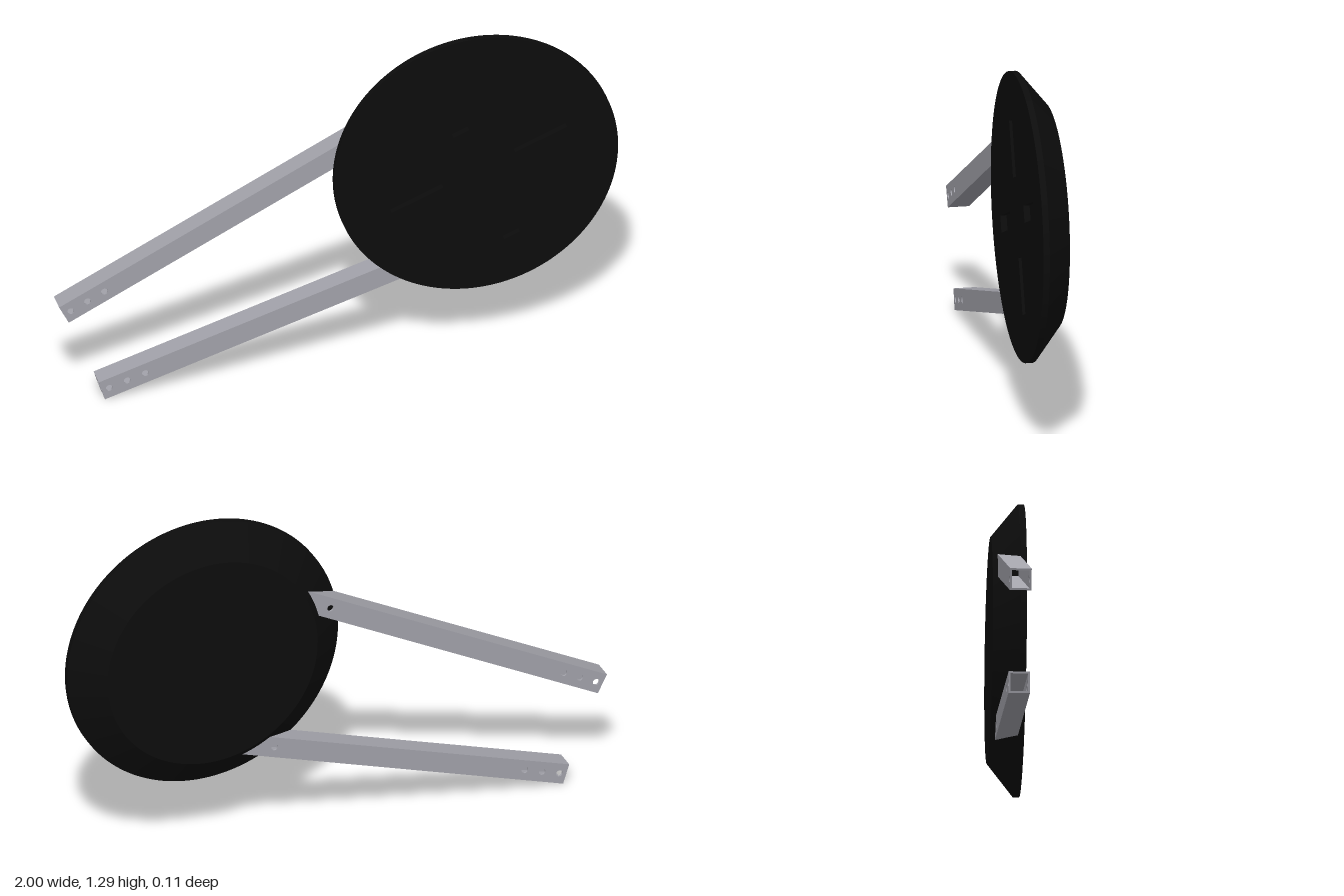
import * as THREE from 'three';
import { mergeGeometries, toCreasedNormals } from 'three/addons/utils/BufferGeometryUtils.js';

const R = 0.509, R_BACK = 0.395;              // disc rim and back radius
const Z_FRONT = 0.057, Z_RIM = 0.035, Z_BACK = -0.057;
const REACH = 1.498, OFFSET = 0.307;          // bar end to disc centre, along and across the bar
const HALF = 0.038, WALL = 0.007, BAR_BACK = -0.04;
const TILT = THREE.MathUtils.degToRad(22.35);

// Disc radius on the bevel at depth z
const bevelRadius = z => R_BACK + (R - R_BACK) * (z - Z_BACK) / (Z_RIM - Z_BACK);

function discGeometries() {
  // Bevelled solid behind the rim
  const profile = [[0, Z_BACK], [R_BACK, Z_BACK], [R, Z_RIM], [0, Z_RIM]].map(p => new THREE.Vector2(...p));
  const body = toCreasedNormals(new THREE.LatheGeometry(profile, 128).rotateX(Math.PI / 2), 0.5);

  // Front plate with four radial slots
  const plate = new THREE.Shape().absarc(0, 0, R, 0, Math.PI * 2);
  for (let k = 0; k < 4; k++) {
    const a = TILT + k * Math.PI / 2;
    const corners = [[0.14, -0.03], [0.14, 0.03], [0.34, 0.03], [0.34, -0.03]];
    plate.holes.push(new THREE.Path(corners.map(([x, y]) =>
      new THREE.Vector2(x, y).rotateAround(new THREE.Vector2(), a))));
  }
  const front = new THREE.ExtrudeGeometry(plate, { depth: Z_FRONT - Z_RIM, bevelEnabled: false, curveSegments: 128 });
  front.translate(0, 0, Z_RIM);
  return [body, toCreasedNormals(front, 0.5)];
}

// Hollow square bar along +x, its inner end cut to lie against the disc bevel
function barGeometry(side) {
  const endAt = (v, z) => REACH - Math.sqrt(bevelRadius(z) ** 2 - (v + side * OFFSET) ** 2);

  function wall(v0, v1, z0, z1, holes) {
    const steps = 8, pts = [new THREE.Vector2(0, v1), new THREE.Vector2(0, v0)];
    for (let i = 0; i <= steps; i++) {
      const v = v0 + (v1 - v0) * i / steps;
      pts.push(new THREE.Vector2(endAt(v, z1), v));
    }
    const shape = new THREE.Shape(pts);
    for (const u of holes) shape.holes.push(new THREE.Path().absarc(u, 0, 0.012, 0, Math.PI * 2));
    const geo = new THREE.ExtrudeGeometry(shape, { depth: z1 - z0, bevelEnabled: false, curveSegments: 24 });
    geo.translate(0, 0, z0);
    // Slide the end vertices onto the bevel at their own depth
    const p = geo.attributes.position;
    for (let i = 0; i < p.count; i++) {
      const v = p.getY(i);
      if (Math.abs(p.getX(i) - endAt(v, z1)) < 1e-4) p.setX(i, endAt(v, p.getZ(i)));
    }
    return toCreasedNormals(geo, 0.5);
  }

  const bolts = [0.027, 0.095, 0.163];
  const inBack = BAR_BACK + WALL, inFront = Z_RIM - WALL;
  return mergeGeometries([
    wall(-HALF, HALF, inFront, Z_RIM, bolts),
    wall(-HALF, HALF, BAR_BACK, inBack, [...bolts, 1.15]),
    wall(HALF - WALL, HALF, inBack, inFront, []),
    wall(-HALF, -HALF + WALL, inBack, inFront, []),
  ]).translate(-REACH, side * OFFSET, 0);
}

export function createModel() {
  const black = new THREE.MeshStandardMaterial({ color: 0x0c0c0c });
  black.name = 'black';
  const grey = new THREE.MeshStandardMaterial({ color: 0xa2a2aa });
  grey.name = 'metal grey';

  const model = new THREE.Group();
  model.name = 'discWithArms';
  model.position.set(0.49, 0.784, 0);

  // Disc
  const disc = new THREE.Group();
  disc.name = 'disc';
  discGeometries().forEach((geo, i) => {
    const mesh = new THREE.Mesh(geo, black);
    mesh.name = ['discBody', 'slottedFrontPlate'][i];
    disc.add(mesh);
  });
  model.add(disc);

  // Two arms, spread slightly apart
  for (const side of [1, -1]) {
    const arm = new THREE.Mesh(barGeometry(side), grey);
    arm.name = side > 0 ? 'upperArm' : 'lowerArm';
    arm.rotation.z = TILT + side * THREE.MathUtils.degToRad(4.85);
    model.add(arm);
  }

  const root = new THREE.Group();
  root.name = 'model';
  root.add(model);
  return root;
}
